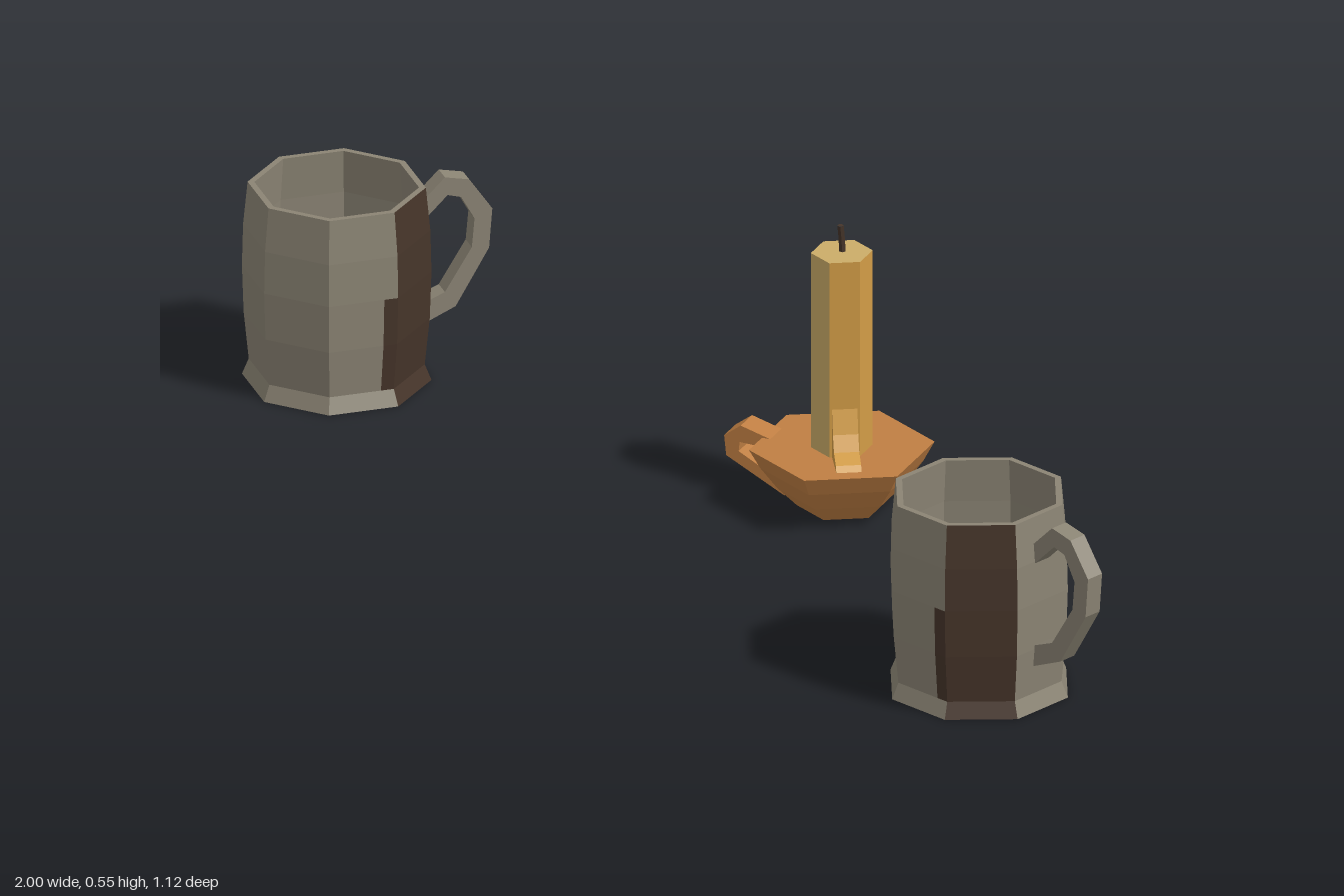
import * as THREE from 'three';

const material = (name, color) => {
  const m = new THREE.MeshStandardMaterial({ color });
  m.name = name;
  return m;
};

// Unshared corners give every face its own flat normal
function flatten(geometry) {
  const g = geometry.index ? geometry.toNonIndexed() : geometry;
  g.computeVertexNormals();
  return g;
}

function addMesh(parent, name, geometry, mat) {
  const mesh = new THREE.Mesh(flatten(geometry), mat);
  mesh.name = name;
  parent.add(mesh);
  return mesh;
}

// Side outline extruded to a width centred on z = 0
function slab(points, width, hole) {
  const toVec = (list) => list.map(([x, y]) => new THREE.Vector2(x, y));
  const shape = new THREE.Shape(toVec(points));
  if (hole) shape.holes.push(new THREE.Path(toVec(hole)));
  return new THREE.ExtrudeGeometry(shape, { depth: width, bevelEnabled: false }).translate(0, 0, -width / 2);
}

const lathe = (points, sides) =>
  new THREE.LatheGeometry(points.map(([r, y]) => new THREE.Vector2(r, y)), sides);

// Mug wall, from the centre of the base over the rim to the inner floor: [radius, y]
const MUG_PROFILE = [
  [0, 0], [0.168, 0], [0.156, 0.03], [0.165, 0.12], [0.168, 0.21], [0.166, 0.29], [0.158, 0.372],
  [0.146, 0.372], [0.153, 0.29], [0.155, 0.21], [0.145, 0.03], [0, 0.03],
];
const RIM_ROW = 6;

function createMug(mats) {
  const mug = new THREE.Group();

  // Eight corners, with an extra split just past the dark panel
  const ring = [];
  for (let k = 0; k < 8; k++) {
    const corner = (n) => {
      const a = ((n * 45 - 22.5) * Math.PI) / 180;
      return new THREE.Vector2(Math.cos(a), Math.sin(a));
    };
    ring.push(corner(k));
    if (k === 2) ring.push(corner(2).lerp(corner(3), 0.2));
  }

  const plain = [];
  const dark = [];
  const last = MUG_PROFILE.length - 2;
  for (let j = 0; j <= last; j++) {
    for (let i = 0; i < ring.length; i++) {
      const at = (n, row) => {
        const p = ring[n % ring.length];
        const [r, y] = MUG_PROFILE[row];
        return [p.x * r, y, p.y * r];
      };
      const isWall = j > 0 && j < last && j !== RIM_ROW;
      const isDark = (i === 1 && isWall) || (i === 2 && (j === 2 || j === 3));
      const a = at(i, j), b = at(i + 1, j), c = at(i + 1, j + 1), d = at(i, j + 1);
      const target = isDark ? dark : plain;
      if (j < last) target.push(...a, ...d, ...c);
      if (j > 0) target.push(...a, ...c, ...b);
    }
  }
  const toGeometry = (list) =>
    new THREE.BufferGeometry().setAttribute('position', new THREE.Float32BufferAttribute(list, 3));
  addMesh(mug, 'mugBody', toGeometry(plain), mats.mug);
  addMesh(mug, 'mugDarkPanel', toGeometry(dark), mats.dark);

  // Angular handle: outer edge down, inner edge back up
  addMesh(mug, 'mugHandle', slab([
    [0.147, 0.32], [0.195, 0.367], [0.24, 0.357], [0.283, 0.295], [0.277, 0.22], [0.215, 0.115], [0.147, 0.085],
    [0.147, 0.125], [0.195, 0.145], [0.245, 0.225], [0.25, 0.28], [0.225, 0.325], [0.2, 0.332], [0.147, 0.28],
  ], 0.036), mats.mug);
  return mug;
}

function createCandle(mats) {
  const candle = new THREE.Group();
  candle.name = 'candleAndHolder';

  // Six-sided holder dish
  addMesh(candle, 'holderDish', lathe(
    [[0, 0.005], [0.08, 0.005], [0.115, 0.04], [0.145, 0.08], [0.165, 0.116], [0, 0.116]], 6), mats.holder);

  // Finger loop on the right of the dish
  addMesh(candle, 'holderLoop', slab(
    [[-0.12, 0.114], [-0.184, 0.132], [-0.216, 0.108], [-0.212, 0.07], [-0.1, 0.012], [-0.07, 0.03]], 0.05,
    [[-0.186, 0.1], [-0.188, 0.082], [-0.11, 0.04], [-0.115, 0.075], [-0.14, 0.098]]), mats.holder);

  // Candle stick: one pale facet, five golden ones, pale top
  const bottom = 0.11, top = 0.492, radius = 0.055;
  const facets = (count, start) =>
    new THREE.CylinderGeometry(radius, radius, top - bottom, count, 1, true, start, (count * Math.PI) / 3)
      .translate(0, (top + bottom) / 2, 0);
  addMesh(candle, 'candleSide', facets(5, 0), mats.wax);
  addMesh(candle, 'candlePaleSide', facets(1, -Math.PI / 3), mats.paleWax);
  addMesh(candle, 'candleTop',
    new THREE.CircleGeometry(radius, 6, Math.PI / 2).rotateX(-Math.PI / 2).translate(0, top, 0), mats.paleWax);

  // Wax pooled at the foot
  const pool = addMesh(candle, 'waxPool', slab(
    [[0.03, 0.112], [0.12, 0.112], [0.108, 0.126], [0.078, 0.138], [0.062, 0.165], [0.047, 0.21]], 0.045), mats.wax);
  pool.rotation.y = -Math.PI / 3;

  // Drop running down the back
  const drop = addMesh(candle, 'waxDrop', lathe(
    [[0, 0.27], [0.013, 0.285], [0.017, 0.315], [0.01, 0.37], [0.007, 0.43], [0, 0.45]], 6), mats.wax);
  drop.position.set(-0.024, 0, -0.0415);

  // Bent wick
  const path = new THREE.CatmullRomCurve3([
    new THREE.Vector3(0, 0.485, -0.004), new THREE.Vector3(0, 0.52, 0), new THREE.Vector3(0, 0.545, 0.005)]);
  addMesh(candle, 'wick', new THREE.TubeGeometry(path, 3, 0.006, 5), mats.dark);
  const tip = addMesh(candle, 'wickTip', new THREE.CircleGeometry(0.006, 5).rotateX(-Math.PI / 2), mats.dark);
  tip.position.set(0, 0.545, 0.005);
  return candle;
}

export function createModel() {
  const model = new THREE.Group();
  model.name = 'mugsAndCandle';
  const mats = {
    mug: material('greyPewter', 0x8b8474),
    dark: material('darkBrown', 0x46352a),
    holder: material('copper', 0xc07f43),
    wax: material('goldenWax', 0xd29c46),
    paleWax: material('paleWax', 0xcbac68),
  };

  // Two mugs: position and handle direction in degrees from +x towards +z
  for (const [name, x, z, degrees] of [['rightMug', -0.84, -0.367, -41.5], ['leftMug', 0.73, 0.387, 20]]) {
    const mug = createMug(mats);
    mug.name = name;
    mug.position.set(x, 0, z);
    mug.rotation.y = (-degrees * Math.PI) / 180;
    model.add(mug);
  }

  const candle = createCandle(mats);
  candle.position.set(0.2, 0, -0.217);
  model.add(candle);
  return model;
}
